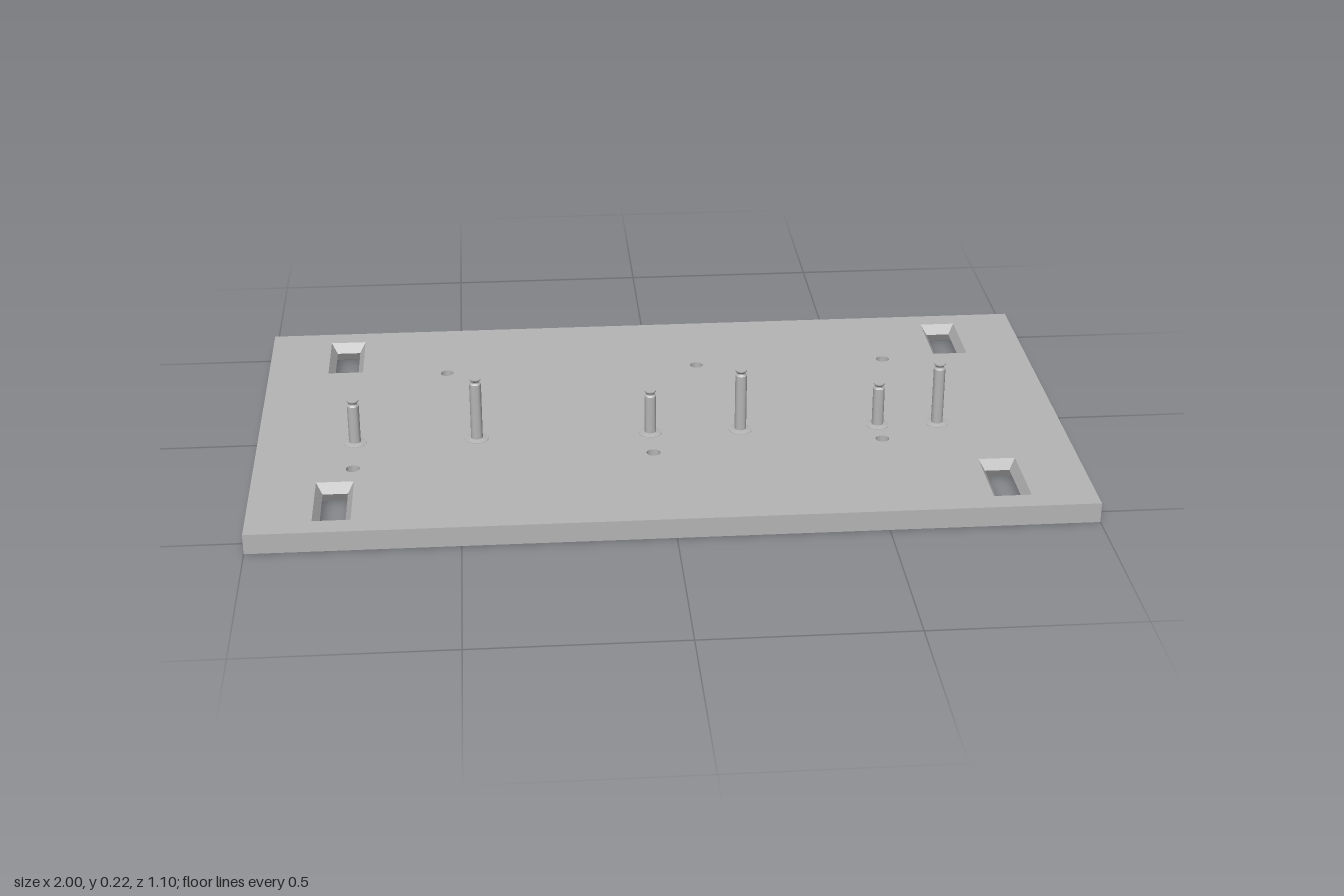
import * as THREE from 'three';
import { mergeGeometries, toCreasedNormals } from 'three/addons/utils/BufferGeometryUtils.js';

const T = 0.05;            // plate thickness
const grey = new THREE.MeshStandardMaterial({ color: 0xb4b4b4 });
grey.name = 'grey';

// Outlines in plan, with plan y = -z
const rect = (x, z, w, d) => [[-1, -1], [1, -1], [1, 1], [-1, 1]]
  .map(([sx, sy]) => new THREE.Vector2(x + sx * w / 2, -z + sy * d / 2));
const circle = (x, z, r, n = 24) => Array.from({ length: n }, (_, i) => {
  const a = i / n * Math.PI * 2;
  return new THREE.Vector2(x + Math.cos(a) * r, -z + Math.sin(a) * r);
});

// Wall through stacked outlines, each [points, height]; inward for holes
function wall(rings, inward) {
  const pos = [];
  for (let k = 0; k + 1 < rings.length; k++) {
    const [lo, y0] = rings[k], [hi, y1] = rings[k + 1];
    lo.forEach((p, i) => {
      const j = (i + 1) % lo.length;
      const a = [p.x, y0, -p.y], b = [lo[j].x, y0, -lo[j].y];
      const c = [hi[j].x, y1, -hi[j].y], d = [hi[i].x, y1, -hi[i].y];
      pos.push(...(inward ? [b, a, d, b, d, c] : [a, b, c, a, c, d]).flat());
    });
  }
  const g = new THREE.BufferGeometry();
  g.setAttribute('position', new THREE.Float32BufferAttribute(pos, 3));
  return toCreasedNormals(g, 0.5);
}

// Flat face of the plate with all its openings
function face(outline, holes, y, down) {
  const shape = new THREE.Shape(outline);
  holes.forEach(h => shape.holes.push(new THREE.Path(h)));
  const g = new THREE.ShapeGeometry(shape).rotateX(-Math.PI / 2).translate(0, y, 0);
  if (down) g.index.array.reverse();
  const out = g.toNonIndexed();
  out.deleteAttribute('uv');
  out.computeVertexNormals();
  return out;
}

function plateGeometry() {
  const outline = rect(0, 0, 2, 1.1);
  const slots = [[-0.8, -0.4], [0.8, -0.4], [-0.8, 0.4], [0.8, 0.4]];
  const drilled = [[-0.535, -0.283], [0.12, -0.283], [0.615, -0.283],
    [-0.76, 0.24], [-0.03, 0.21], [0.54, 0.178]].map(([x, z]) => circle(x, z, 0.017));
  const mouths = slots.map(([x, z]) => rect(x, z, 0.09, 0.19));
  const necks = slots.map(([x, z]) => rect(x, z, 0.06, 0.16));
  const holes = [...mouths, ...drilled];
  return mergeGeometries([
    face(outline, holes, T, false),
    face(outline, holes, 0, true),
    wall([[outline, 0], [outline, T]], false),
    // slots pinch in at half thickness
    ...mouths.map((m, i) => wall([[m, 0], [necks[i], T / 2], [m, T]], true)),
    ...drilled.map(c => wall([[c, 0], [c, T]], true)),
  ]);
}

// Pin with a thin flared foot and a groove under the tip
function pinGeometry(top) {
  const profile = [[0.029, T], [0.029, T + 0.001], [0.0145, T + 0.004], [0.0145, top - 0.015],
    [0.0105, top - 0.011], [0.0105, top - 0.008], [0.0145, top - 0.003], [0.0145, top], [0, top]]
    .map(([r, y]) => new THREE.Vector2(r, y));
  return toCreasedNormals(new THREE.LatheGeometry(profile, 24), 0.5);
}

export function createModel() {
  const model = new THREE.Group();
  model.name = 'pinPlate';

  const plate = new THREE.Mesh(plateGeometry(), grey);
  plate.name = 'plate';
  model.add(plate);

  const sets = [['shortPin', 0.167, [-0.76, -0.03, 0.54]], ['tallPin', 0.215, [-0.46, 0.195, 0.69]]];
  for (const [name, top, xs] of sets) {
    const geometry = pinGeometry(top);
    xs.forEach((x, i) => {
      const pin = new THREE.Mesh(geometry, grey);
      pin.name = `${name}${i + 1}`;
      pin.position.set(x, 0, 0.1);
      model.add(pin);
    });
  }
  return model;
}
